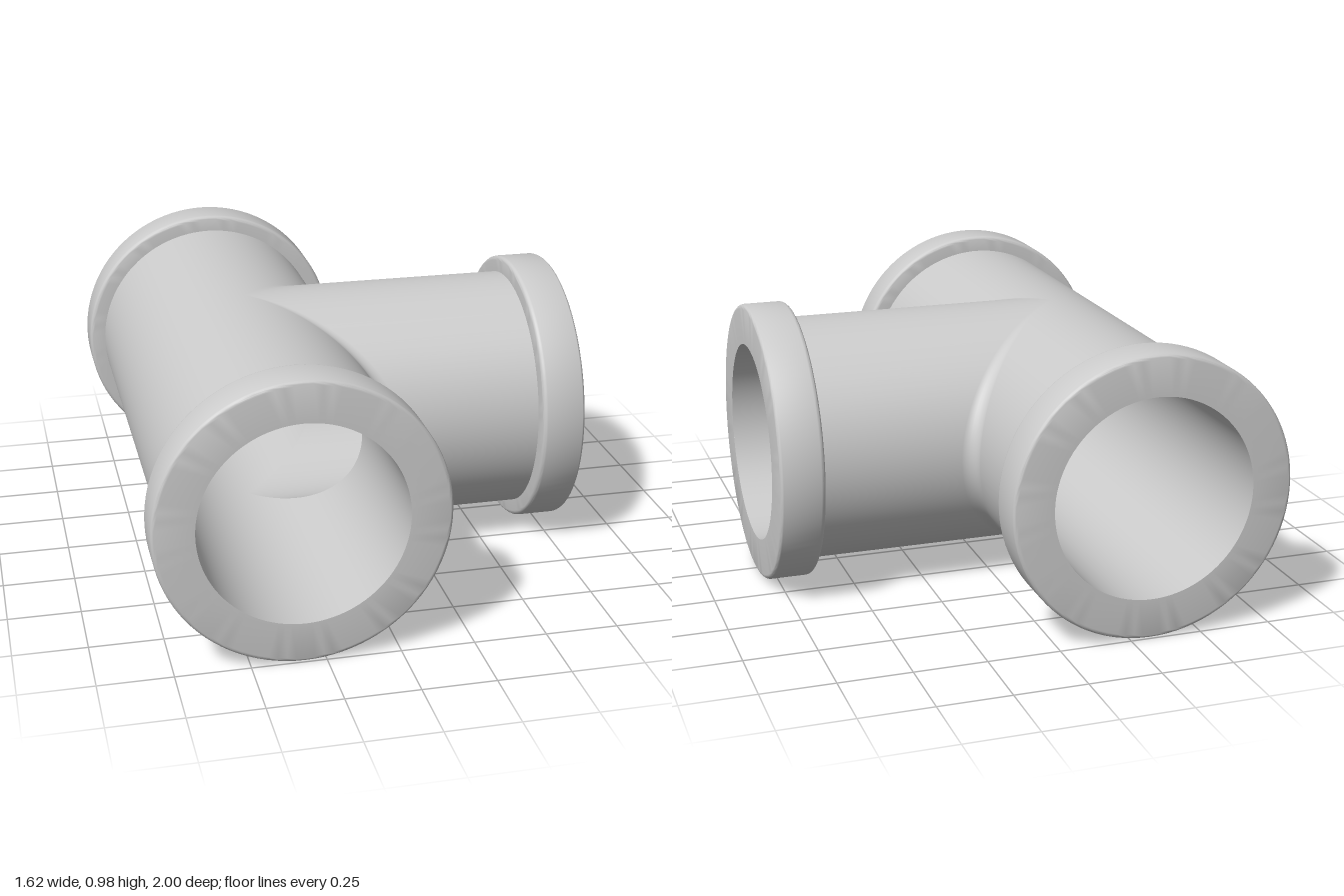
import * as THREE from 'three';
import { toCreasedNormals } from 'three/addons/utils/BufferGeometryUtils.js';

const CX = -0.321, CY = 0.49, CZ = -0.018;      // where the two pipe axes cross
const BODY = 0.431, BORE = 0.348, COLLAR = 0.489;
const COLLAR_LEN = 0.155, BEVEL = 0.016, FILLET = 0.05;
const END_X = 0.806, END_Z = 1;
const material = new THREE.MeshStandardMaterial({ color: 0xcccccc });

// Grid surface; row(angle) returns a list of [point, outward normal] along the pipe
function sheet(name, row, a0, a1, segments, flip, inner) {
  const pos = [], nor = [], index = [];
  let n = 0;
  for (let i = 0; i <= segments; i++) {
    const line = row(a0 + (a1 - a0) * i / segments);
    n = line.length;
    for (const [p, d] of line) {
      pos.push(p.x, p.y, p.z);
      const s = inner ? -1 : 1;
      nor.push(d.x * s, d.y * s, d.z * s);
    }
  }
  for (let i = 0; i < segments; i++) for (let j = 0; j < n - 1; j++) {
    const a = i * n + j, b = a + n, c = b + 1, d = a + 1;
    if (flip !== inner) index.push(a, b, c, a, c, d);
    else index.push(a, c, b, a, d, c);
  }
  const geo = new THREE.BufferGeometry();
  geo.setAttribute('position', new THREE.Float32BufferAttribute(pos, 3));
  geo.setAttribute('normal', new THREE.Float32BufferAttribute(nor, 3));
  geo.setIndex(index);
  const mesh = new THREE.Mesh(geo, material);
  mesh.name = name;
  return mesh;
}

// Tee-shaped skin: a plain back half, and two mirrored quarters that turn from main pipe into branch
function teeSkin(name, R, fillet, inset, inner) {
  const group = new THREE.Group();
  group.name = name;
  const V = (x, y, z) => new THREE.Vector3(x, y, z);

  group.add(sheet(name + 'Back', (a) => {
    const c = Math.cos(a), s = Math.sin(a);
    return [END_Z - inset, -END_Z + inset].map((z) => [V(CX + R * c, CY + R * s, z), V(c, s, 0)]);
  }, Math.PI / 2, Math.PI * 1.5, 48, false, inner));

  for (const side of [1, -1]) {
    const place = (p) => V(CX + p.x, CY + p.y, CZ + side * p.z);
    const turn = (d) => V(d.x, d.y, side * d.z);
    group.add(sheet(name + (side > 0 ? 'FrontJoint' : 'RearJoint'), (a) => {
      const c = Math.cos(a), s = Math.sin(a), Q = R + fillet;
      const nMain = V(c, s, 0), nBranch = V(0, s, c);
      const line = [[V(R * c, R * s, END_Z - side * CZ - inset), nMain]];
      // Rolling-ball fillet between the two equal cylinders
      const steps = fillet > 0 ? 8 : 1;
      for (let k = 0; k <= steps; k++) {
        const d = nMain.clone().lerp(nBranch, k / steps).normalize();
        line.push([V(Q * c, Q * s, Q * c).addScaledVector(d, -fillet), d]);
      }
      line.push([V(END_X - CX - inset, R * s, R * c), nBranch]);
      return line.map(([p, d]) => [place(p), turn(d)]);
    }, -Math.PI / 2, Math.PI / 2, 64, side < 0, inner));
  }
  return group;
}

// Collar ring with softened rims; its open end face lies at local y = 0
function collarGeometry() {
  const pts = [new THREE.Vector2(BODY - 0.01, -COLLAR_LEN)];
  const corner = (y, from) => {
    for (let k = 0; k <= 5; k++) {
      const a = from + (Math.PI / 2) * k / 5;
      pts.push(new THREE.Vector2(COLLAR - BEVEL + BEVEL * Math.cos(a), y + BEVEL * Math.sin(a)));
    }
  };
  corner(-COLLAR_LEN + BEVEL, -Math.PI / 2);
  corner(-BEVEL, 0);
  pts.push(new THREE.Vector2(BORE, 0));
  return toCreasedNormals(new THREE.LatheGeometry(pts, 96), 0.6);
}

export function createModel() {
  const model = new THREE.Group();
  model.name = 'pipeTee';

  // Outer wall and bore
  model.add(teeSkin('outerWall', BODY, FILLET, 0.08, false));
  model.add(teeSkin('bore', BORE, 0, 0, true));

  // Collars on the three openings
  const geo = collarGeometry();
  const ends = [
    ['frontCollar', [CX, CY, END_Z], [Math.PI / 2, 0, 0]],
    ['rearCollar', [CX, CY, -END_Z], [-Math.PI / 2, 0, 0]],
    ['branchCollar', [END_X, CY, CZ], [0, 0, -Math.PI / 2]],
  ];
  for (const [name, p, r] of ends) {
    const mesh = new THREE.Mesh(geo, material);
    mesh.name = name;
    mesh.position.set(...p);
    mesh.rotation.set(...r);
    model.add(mesh);
  }
  return model;
}
